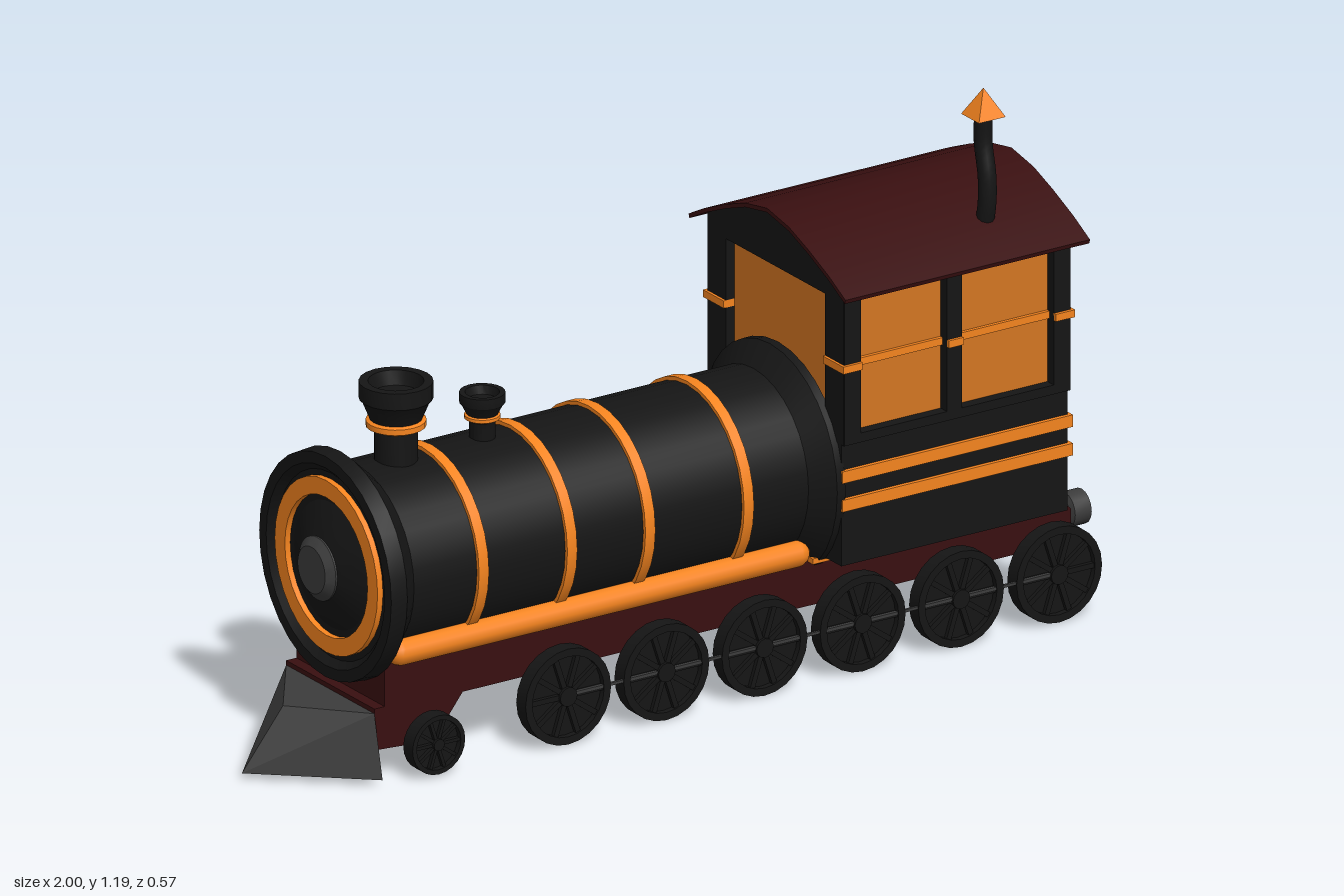
import * as THREE from 'three';
import { toCreasedNormals } from 'three/addons/utils/BufferGeometryUtils.js';

const mat = (color) => new THREE.MeshStandardMaterial({ color, side: THREE.DoubleSide });
const BLACK = mat(0x151515), ORANGE = mat(0xf5841f), GLASS = mat(0xd47622);
const RED = mat(0x390f10), GREY = mat(0x3c3c3c);
const V = (x, y, z) => new THREE.Vector3(x, y, z);

export function createModel() {
  const model = new THREE.Group();
  model.name = 'steamLocomotive';

  const add = (name, geo, material, x = 0, y = 0, z = 0, parent = model) => {
    const mesh = new THREE.Mesh(geo, material);
    mesh.name = name;
    mesh.position.set(x, y, z);
    parent.add(mesh);
    return mesh;
  };
  // Box given by its minimum and maximum corners
  const box = (name, material, a, b, parent = model) =>
    add(name, new THREE.BoxGeometry(b[0] - a[0], b[1] - a[1], b[2] - a[2]), material,
      (a[0] + b[0]) / 2, (a[1] + b[1]) / 2, (a[2] + b[2]) / 2, parent);
  const lathe = (pts, sides) => toCreasedNormals(
    new THREE.LatheGeometry(pts.map(p => new THREE.Vector2(p[0], p[1])), sides), 0.5);
  // Turned part along x; profile is [radius, x]
  const latheX = (pts, sides = 32) => lathe(pts, sides).rotateZ(-Math.PI / 2);
  const polygon = (pts) => new THREE.Shape(pts.map(p => new THREE.Vector2(p[0], p[1])));
  const extrude = (shape, depth) => new THREE.ExtrudeGeometry(shape, { depth, bevelEnabled: false });
  const rectHole = (x0, x1, y0, y1) =>
    new THREE.Path([[x0, y0], [x0, y1], [x1, y1], [x1, y0]].map(p => new THREE.Vector2(p[0], p[1])));

  // Boiler with flared smokebox rim and rear collar
  const axisY = 0.42;
  add('boiler', latheX([[0, -0.782], [0.2, -0.782], [0.215, -0.797], [0.24, -0.797], [0.243, -0.76],
    [0.2, -0.715], [0.2, 0.245], [0.245, 0.285], [0.245, 0.305], [0, 0.305]]), BLACK, 0, axisY);
  add('smokeboxDoor', latheX([[0, -0.826], [0.04, -0.826], [0.14, -0.78], [0, -0.78]]), BLACK, 0, axisY);
  add('doorCentre', latheX([[0, -0.831], [0.05, -0.831], [0.068, -0.817], [0.068, -0.8], [0, -0.8]]), GREY, 0, axisY);
  add('doorRing', latheX([[0.15, -0.778], [0.15, -0.795], [0.187, -0.795], [0.187, -0.778]]), ORANGE, 0, axisY);
  for (const x of [-0.55, -0.335, -0.145, 0.095])
    add('boilerBand', latheX([[0.198, -0.012], [0.208, -0.012], [0.208, 0.012], [0.198, 0.012]]), ORANGE, x, axisY);

  // Chimney and steam dome: stem, orange collar and open flared cup
  const funnel = (name, x, s, stem, collar, cup, base, mid, top) => {
    const g = new THREE.Group();
    g.name = name;
    g.position.x = x;
    model.add(g);
    add('stem', lathe([[stem, base], [stem, mid - 0.01], [collar * 0.85, mid]], 20), BLACK, 0, 0, 0, g);
    add('collar', lathe([[stem, mid - 0.012 * s], [collar, mid - 0.004 * s], [collar, mid + 0.008 * s], [stem, mid + 0.016 * s]], 20), ORANGE, 0, 0, 0, g);
    add('cup', lathe([[collar * 0.85, mid + 0.008 * s], [cup * 0.92, top - 0.042 * s], [cup, top - 0.036 * s], [cup, top],
      [cup * 0.75, top], [cup * 0.65, top - 0.03 * s], [0, top - 0.03 * s]], 20), BLACK, 0, 0, 0, g);
  };
  funnel('chimney', -0.625, 1, 0.045, 0.062, 0.076, 0.59, 0.695, 0.787);
  funnel('steamDome', -0.415, 0.6, 0.027, 0.037, 0.047, 0.59, 0.663, 0.716);

  // Chassis with the drop at the front
  add('chassis', extrude(polygon([[-0.785, 0.07], [-0.64, 0.06], [-0.57, 0.15], [0.88, 0.15],
    [0.91, 0.17], [0.91, 0.22], [0.87, 0.26], [-0.76, 0.26], [-0.76, 0.16], [-0.785, 0.16]]), 0.32), RED, 0, 0, -0.16);

  // Wedge-shaped plough: bottom and top triangular sections
  const plough = new THREE.BufferGeometry();
  plough.setAttribute('position', new THREE.Float32BufferAttribute([
    -1, 0.015, 0, -0.785, 0.015, 0.19, -0.785, 0.015, -0.19,
    -0.9, 0.14, 0, -0.785, 0.15, 0.16, -0.785, 0.15, -0.16], 3));
  plough.setIndex([0, 2, 1, 3, 4, 5, 0, 1, 4, 0, 4, 3, 0, 5, 2, 0, 3, 5, 1, 2, 5, 1, 5, 4]);
  const ploughFlat = plough.toNonIndexed();
  ploughFlat.computeVertexNormals();
  add('plough', ploughFlat, GREY);

  // Wheels: disc, raised rim, hub and spokes on the outer face
  const wheel = (name, x, y, r, side) => {
    const g = new THREE.Group();
    g.name = name;
    g.position.set(x, y, side * 0.174);
    if (side < 0) g.rotation.y = Math.PI;
    model.add(g);
    add('disc', new THREE.CylinderGeometry(r * 0.95, r * 0.95, 0.02, 24).rotateX(Math.PI / 2), BLACK, 0, 0, 0.011, g);
    add('rim', lathe([[r * 0.84, 0], [r, 0], [r, 0.034], [r * 0.84, 0.034], [r * 0.84, 0]], 24).rotateX(Math.PI / 2), BLACK, 0, 0, 0, g);
    add('hub', new THREE.CylinderGeometry(r * 0.2, r * 0.2, 0.036, 12).rotateX(Math.PI / 2), BLACK, 0, 0, 0.018, g);
    for (let i = 0; i < 5; i++)
      add('spokes', new THREE.BoxGeometry(r * 1.75, r * 0.11, 0.012), BLACK, 0, 0, 0.024, g).rotation.z = i * Math.PI / 5;
  };

  for (const s of [1, -1]) {
    for (let i = 0; i < 6; i++) wheel('drivingWheel', -0.345 + i * 0.239, 0.105, 0.104, s);
    wheel('leadingWheel', -0.66, 0.07, 0.064, s);

    // Coupling rods
    box('couplingRod', GREY, [-0.345, 0.105, s * 0.203 - 0.003], [0.85, 0.111, s * 0.203 + 0.003]);

    // Running board
    add('runningBoard', new THREE.CapsuleGeometry(0.028, 0.965, 6, 12).rotateZ(Math.PI / 2), ORANGE, -0.24, 0.27, s * 0.158);
    box('cabSill', ORANGE, [0.27, 0.246, s * 0.162 - 0.016], [0.38, 0.258, s * 0.162 + 0.016]);

    // Rear buffers
    add('buffer', latheX([[0, 0.87], [0.024, 0.87], [0.024, 0.955], [0.037, 0.96], [0.037, 1], [0, 1]], 16), GREY, 0, 0.175, s * 0.065);

    // Rear handrails
    add('handrail', new THREE.TubeGeometry(new THREE.CatmullRomCurve3([V(0.845, 0.555, 0), V(0.875, 0.53, 0),
      V(0.893, 0.45, 0), V(0.892, 0.36, 0), V(0.875, 0.285, 0), V(0.845, 0.27, 0)]), 20, 0.007, 8), GREY, 0, 0, s * 0.106);
  }

  // Cab: lower body, glazed core and framed walls
  const cab = new THREE.Group();
  cab.name = 'cab';
  model.add(cab);
  box('lowerBody', BLACK, [0.3, 0.255, -0.237], [0.85, 0.53, 0.237], cab);
  box('windows', GLASS, [0.32, 0.525, -0.224], [0.83, 0.85, 0.224], cab);

  const sideWall = polygon([[0.3, 0.52], [0.85, 0.52], [0.85, 0.87], [0.3, 0.87]]);
  sideWall.holes.push(rectHole(0.34, 0.55, 0.54, 0.83), rectHole(0.586, 0.81, 0.54, 0.83));
  const endWall = (halfWindow) => {
    const shape = polygon([[-0.247, 0.52], [0.247, 0.52], [0.247, 0.87], [0.225, 0.885],
      [0.08, 0.94], [0, 0.955], [-0.08, 0.94], [-0.225, 0.885], [-0.247, 0.87]]);
    shape.holes.push(rectHole(-halfWindow, halfWindow, 0.54, 0.83));
    return extrude(shape, 0.03).rotateY(Math.PI / 2);
  };
  add('frontWall', endWall(0.18), BLACK, 0.299, 0, 0, cab);
  add('rearWall', endWall(0.08), BLACK, 0.821, 0, 0, cab);

  for (const s of [1, -1]) {
    add('sideWall', extrude(sideWall, 0.03), BLACK, 0, 0, s > 0 ? 0.218 : -0.248, cab);

    // Upper trim: proud on the posts, set back across the panes
    const zSpan = (a, b) => (s > 0 ? [a, b] : [-b, -a]);
    const trim = (x0, x1, y0, y1, za, zb) => {
      const [z0, z1] = zSpan(za, zb);
      box('trim', ORANGE, [x0, y0, z0], [x1, y1, z1], cab);
    };
    for (const [x0, x1] of [[0.293, 0.34], [0.55, 0.586], [0.81, 0.857]]) trim(x0, x1, 0.68, 0.696, 0.215, 0.255);
    trim(0.33, 0.82, 0.68, 0.696, 0.215, 0.232);
    trim(0.83, 0.857, 0.68, 0.696, 0.08, 0.25);
    trim(0.293, 0.32, 0.68, 0.696, 0.18, 0.25);

    // Lower double trim, wrapping round the rear corners
    for (const y of [0.376, 0.438]) {
      trim(0.297, 0.858, y, y + 0.026, 0.22, 0.246);
      trim(0.84, 0.858, y, y + 0.026, 0.16, 0.23);
    }
  }
  // Ladder treads below the rear door
  for (let i = 0; i < 8; i++)
    box('tread', BLACK, [0.84, 0.285 + i * 0.031, -0.08], [0.862, 0.298 + i * 0.031, 0.08], cab);

  // Curved roof sheet
  const arch = [[-0.285, 0.855], [-0.225, 0.887], [-0.15, 0.92], [-0.08, 0.946], [0, 0.961],
    [0.08, 0.946], [0.15, 0.92], [0.225, 0.887], [0.285, 0.855]];
  const under = arch.map(([z, y]) => [z * 0.99, y - 0.009]).reverse();
  add('roof', toCreasedNormals(extrude(polygon([...arch, ...under]), 0.595).rotateY(Math.PI / 2), 0.5), RED, 0.278, 0, 0, cab);

  // Crooked stovepipe with pyramid cap
  add('stovepipe', new THREE.TubeGeometry(new THREE.CatmullRomCurve3([V(0.692, 0.88, 0.168), V(0.692, 0.94, 0.181),
    V(0.692, 1.0, 0.181), V(0.692, 1.07, 0.167), V(0.692, 1.135, 0.168)]), 16, 0.019, 10), BLACK);
  const cap = new THREE.ConeGeometry(0.046, 0.06, 4).rotateY(Math.PI / 4).toNonIndexed();
  cap.computeVertexNormals();
  add('stovepipeCap', cap, ORANGE, 0.692, 1.157, 0.168);

  return model;
}
